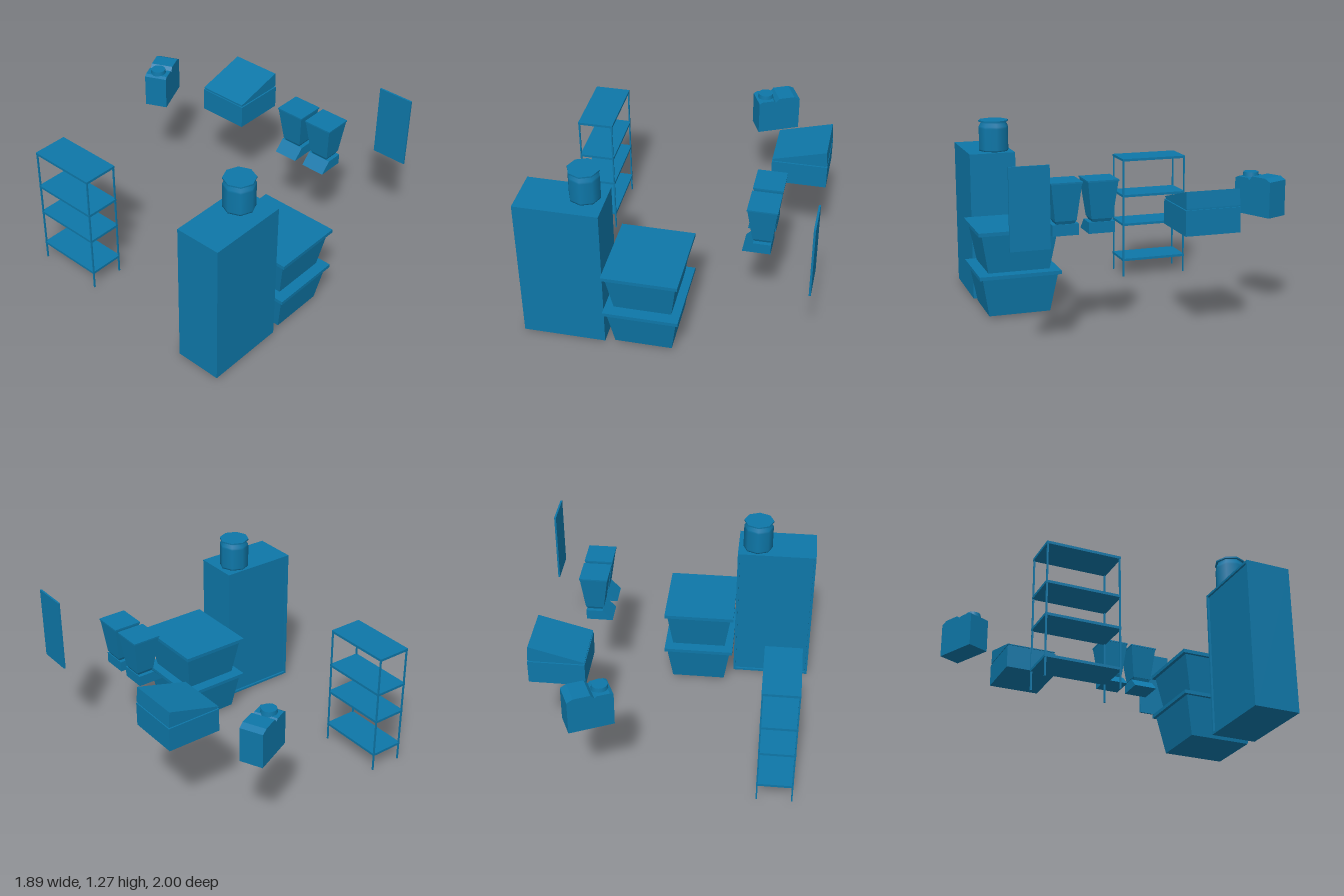
import * as THREE from 'three';

const material = new THREE.MeshStandardMaterial({ color: 0x0e77a8 });

function addMesh(parent, name, geometry) {
  const mesh = new THREE.Mesh(geometry, material);
  mesh.name = name;
  parent.add(mesh);
  return mesh;
}

function addGroup(parent, name) {
  const group = new THREE.Group();
  group.name = name;
  parent.add(group);
  return group;
}

// Box given by its limits on each axis
function block(parent, name, [x0, x1], [y0, y1], [z0, z1]) {
  const g = new THREE.BoxGeometry(x1 - x0, y1 - y0, z1 - z0);
  g.translate((x0 + x1) / 2, (y0 + y1) / 2, (z0 + z1) / 2);
  return addMesh(parent, name, g);
}

// Tapered box between a bottom and a top rectangle, each [x0, x1, z0, z1]
function taper(parent, name, y0, y1, bottom, top) {
  const g = new THREE.BoxGeometry(1, 1, 1);
  const p = g.attributes.position;
  for (let i = 0; i < p.count; i++) {
    const r = p.getY(i) > 0 ? top : bottom;
    p.setXYZ(i, p.getX(i) > 0 ? r[1] : r[0], p.getY(i) > 0 ? y1 : y0, p.getZ(i) > 0 ? r[3] : r[2]);
  }
  g.computeVertexNormals();
  return addMesh(parent, name, g);
}

// Side outline in x and y, extruded along z around zero
function prism(parent, name, outline, depth) {
  const shape = new THREE.Shape(outline.map(([x, y]) => new THREE.Vector2(x, y)));
  const g = new THREE.ExtrudeGeometry(shape, { depth, bevelEnabled: false });
  g.translate(0, 0, -depth / 2);
  return addMesh(parent, name, g);
}

// Tall cabinet with a back panel set into its frame
function buildCabinet(root) {
  const cabinet = addGroup(root, 'cabinet');
  const t = 0.016;
  block(cabinet, 'cabinetBody', [-0.95, -0.392], [0.012, 1.05], [0.634, 0.942]);
  for (const x of [-0.95, -0.392 - t]) block(cabinet, 'backFrameSide', [x, x + t], [0.012, 1.05], [0.62, 0.634]);
  for (const y of [0.012, 1.05 - t]) block(cabinet, 'backFrameRail', [-0.95 + t, -0.392 - t], [y, y + t], [0.62, 0.634]);
}

// Eight-sided jar with a flared lid
function buildJar(root) {
  const jar = addGroup(root, 'jar');
  jar.position.set(-0.53, 1.05, 0.741);
  const lathe = (name, pts) =>
    addMesh(jar, name, new THREE.LatheGeometry(pts.map(([r, y]) => new THREE.Vector2(r, y)), 8));
  lathe('jarBody', [[0.001, 0], [0.105, 0], [0.105, 0.01], [0.105, 0.16], [0.104, 0.175], [0.092, 0.195], [0.092, 0.206]]);
  const lid = new THREE.CylinderGeometry(0.106, 0.106, 0.01, 8);
  lid.translate(0, 0.211, 0);
  addMesh(jar, 'jarLid', lid);
}

// Stacked storage bins with overhanging lids
function buildBins(root) {
  for (const y of [0.017, 0.317]) {
    const bin = addGroup(root, 'storageBin');
    taper(bin, 'binBody', y, y + 0.27, [-0.326, 0.058, 0.503, 0.927], [-0.366, 0.098, 0.455, 0.975]);
    block(bin, 'binLid', [-0.386, 0.115], [y + 0.268, y + 0.293], [0.432, 0.998]);
  }
}

// Open shelf rack on four thin legs
function buildRack(root) {
  const rack = addGroup(root, 'shelfRack');
  for (const y of [0.131, 0.406, 0.626, 0.9]) {
    block(rack, 'shelf', [-0.877, -0.629], [y - 0.009, y + 0.009], [-0.755, -0.258]);
  }
  for (const x of [-0.876, -0.64]) {
    for (const z of [-0.754, -0.269]) block(rack, 'rackLeg', [x, x + 0.01], [0, 0.9], [z, z + 0.01]);
  }
}

// Pair of blenders: sloped base, neck, flared pitcher and lid
function buildBlenders(root) {
  for (const z of [0.316, 0.553]) {
    const blender = addGroup(root, 'blender');
    const rect = (x0, x1, d) => [x0, x1, z - d, z + d];
    taper(blender, 'blenderBase', 0.687, 0.76, rect(0.46, 0.645, 0.086), rect(0.53, 0.645, 0.086));
    taper(blender, 'blenderNeck', 0.76, 0.782, rect(0.535, 0.638, 0.058), rect(0.525, 0.648, 0.068));
    taper(blender, 'blenderPitcher', 0.782, 1.022, rect(0.523, 0.65, 0.07), rect(0.488, 0.678, 0.099));
    block(blender, 'blenderLid', [0.485, 0.682], [1.022, 1.032], [z - 0.103, z + 0.103]);
  }
}

// Square counter unit with a wedge top
function buildWedgeUnit(root) {
  const unit = addGroup(root, 'wedgeUnit');
  block(unit, 'unitBase', [0.528, 0.908], [0.687, 0.852], [-0.518, -0.147]);
  block(unit, 'unitGap', [0.536, 0.9], [0.852, 0.866], [-0.508, -0.157]);
  const wedge = prism(unit, 'unitWedge', [[0.53, 0.864], [0.906, 0.864], [0.898, 0.97], [0.53, 0.87]], 0.364);
  wedge.position.z = -0.3325;
}

// Turned counter machine with a round cap and a raised hump
function buildMachine(root) {
  const machine = addGroup(root, 'counterMachine');
  machine.position.set(0.452, 0, -0.866);
  machine.rotation.y = 0.432;
  prism(machine, 'machineBody', [
    [-0.151, 0.687], [0.151, 0.687], [0.151, 0.93], [0.11, 0.951], [-0.003, 0.951],
    [-0.028, 0.922], [-0.042, 0.937], [-0.128, 0.937], [-0.151, 0.925],
  ], 0.161);
  const cap = new THREE.CylinderGeometry(0.051, 0.056, 0.035, 16);
  cap.translate(-0.083, 0.948, 0);
  addMesh(machine, 'machineCap', cap);
}

export function createModel() {
  const root = new THREE.Group();
  root.name = 'kitchenStorageSet';
  buildCabinet(root);
  buildJar(root);
  buildBins(root);
  buildRack(root);
  buildBlenders(root);
  buildWedgeUnit(root);
  buildMachine(root);
  block(root, 'uprightPanel', [0.932, 0.945], [0.69, 1.2], [0.732, 0.982]);
  return root;
}
